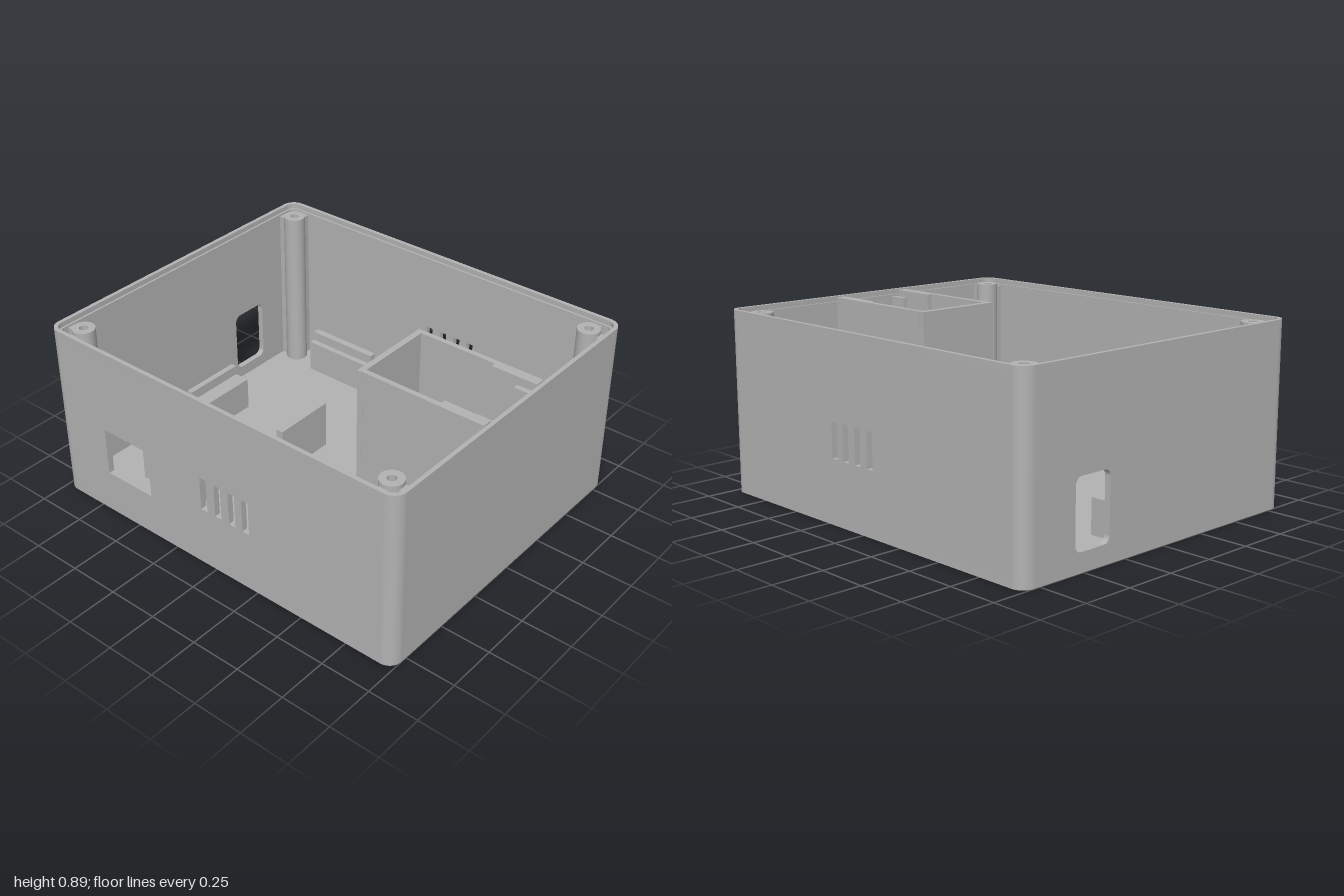
import * as THREE from 'three';
import { toCreasedNormals } from 'three/addons/utils/BufferGeometryUtils.js';

const W = 0.845, D = 1, H = 0.895, R = 0.065, T = 0.03;
const FLOOR = 0.03, LEDGE = 0.87, POST_TOP = 0.88;

export function createModel() {
  const root = new THREE.Group();
  root.name = 'enclosure';
  const grey = new THREE.MeshStandardMaterial({ color: 0xb2b2b2 });
  grey.name = 'grey plastic';

  const add = (geo, name, parent = root) => {
    const mesh = new THREE.Mesh(geo, grey);
    mesh.name = name;
    parent.add(mesh);
    return mesh;
  };
  const extrude = (shape, depth) =>
    new THREE.ExtrudeGeometry(shape, { depth, bevelEnabled: false, curveSegments: 12 });
  // Plan shapes use (x, -z) and are raised from y0 to y1
  const prism = (shape, y0, y1, name, parent) => {
    const geo = extrude(shape, y1 - y0).rotateX(-Math.PI / 2).translate(0, y0, 0);
    return add(toCreasedNormals(geo, 0.6), name, parent);
  };
  const box = (x0, x1, y0, y1, z0, z1, name, parent) => {
    const geo = new THREE.BoxGeometry(x1 - x0, y1 - y0, z1 - z0);
    geo.translate((x0 + x1) / 2, (y0 + y1) / 2, (z0 + z1) / 2);
    return add(geo, name, parent);
  };
  const roundRect = (C, x0, x1, y0, y1, r) => {
    const s = new C();
    s.moveTo(x0 + r, y0);
    s.absarc(x1 - r, y0 + r, r, -Math.PI / 2, 0, false);
    s.absarc(x1 - r, y1 - r, r, 0, Math.PI / 2, false);
    s.absarc(x0 + r, y1 - r, r, Math.PI / 2, Math.PI, false);
    s.absarc(x0 + r, y0 + r, r, Math.PI, Math.PI * 1.5, false);
    s.closePath();
    return s;
  };
  const rect = (C, x0, x1, y0, y1) => {
    const s = new C();
    s.moveTo(x0, y0);
    s.lineTo(x1, y0);
    s.lineTo(x1, y1);
    s.lineTo(x0, y1);
    s.closePath();
    return s;
  };

  // Floor in two layers: narrow keyholes below, wider pockets above
  const keyhole = (cx, w, r) => {
    const a = Math.asin(w / r), p = new THREE.Path();
    p.moveTo(cx + w, 0);
    p.lineTo(cx + w, -0.125 + r * Math.cos(a));
    p.absarc(cx, -0.125, r, Math.PI / 2 - a, Math.PI / 2 + a, true);
    p.lineTo(cx - w, 0);
    p.closePath();
    return p;
  };
  const floorLayer = (w, r, y0, y1, name) => {
    const s = roundRect(THREE.Shape, -W, W, -D, D, R);
    for (const cx of [-0.51, 0.505]) s.holes.push(keyhole(cx, w, r));
    prism(s, y0, y1, name);
  };
  floorLayer(0.035, 0.065, 0, FLOOR / 2, 'floorBottom');
  floorLayer(0.06, 0.076, FLOOR / 2, FLOOR, 'floorTop');

  // Flat wall panels with their openings
  const slots = () => [-0.21, -0.13, -0.047, 0.038].map(u =>
    rect(THREE.Path, u, u + 0.038, 0.31, 0.482));
  const panel = (half, holes) => {
    const s = rect(THREE.Shape, -half, half, FLOOR, LEDGE);
    s.holes.push(...holes);
    return extrude(s, T);
  };
  const backPort = roundRect(THREE.Path, 0.345, 0.55, 0.09, 0.41, 0.035);
  const sidePort = rect(THREE.Path, 0.4, 0.68, 0.22, 0.465);
  add(panel(W - R, []), 'frontWall').position.z = D - T;
  add(panel(W - R, [backPort]), 'backWall').position.z = -D;
  add(panel(D - R, slots()).rotateY(Math.PI / 2), 'leftWall').position.x = W - T;
  add(panel(D - R, [...slots(), sidePort]).rotateY(Math.PI / 2), 'rightWall').position.x = -W;

  // Rounded corner walls
  for (let i = 0; i < 4; i++) {
    const sx = i === 0 || i === 3 ? 1 : -1, sy = i < 2 ? 1 : -1, a = i * Math.PI / 2;
    const cx = sx * (W - R), cy = sy * (D - R), s = new THREE.Shape();
    s.absarc(cx, cy, R, a, a + Math.PI / 2, false);
    s.absarc(cx, cy, R - T, a + Math.PI / 2, a, true);
    s.closePath();
    prism(s, FLOOR, LEDGE, 'cornerWall');
  }

  // Thin rim above the lid ledge
  const rim = roundRect(THREE.Shape, -W, W, -D, D, R);
  rim.holes.push(roundRect(THREE.Path, -W + 0.02, W - 0.02, -D + 0.02, D - 0.02, R - 0.02));
  prism(rim, LEDGE, H, 'rim');

  // Screw posts, each tied to two walls by short ribs
  for (const sx of [-1, 1]) for (const sz of [-1, 1]) {
    const post = new THREE.Group();
    post.name = 'screwPost';
    root.add(post);
    const x = sx * 0.732, z = sz * 0.888;
    const ring = new THREE.Shape();
    ring.absarc(x, -z, 0.055, 0, Math.PI * 2, false);
    const hole = new THREE.Path();
    hole.absarc(x, -z, 0.021, 0, Math.PI * 2, true);
    ring.holes.push(hole);
    prism(ring, FLOOR, POST_TOP, 'postTube', post);
    const xs = [sx * 0.78, sx * (W - T)].sort((a, b) => a - b);
    const zs = [sz * 0.935, sz * (D - T)].sort((a, b) => a - b);
    box(xs[0], xs[1], FLOOR, LEDGE - 0.01, z - 0.022, z + 0.022, 'postRib', post);
    box(x - 0.022, x + 0.022, FLOOR, LEDGE - 0.01, zs[0], zs[1], 'postRib', post);
  }

  // Board supports: low seats with taller stops behind them
  const seat = 0.2, stop = 0.25;
  box(-0.145, 0.18, FLOOR, seat, -0.825, -0.745, 'backSeat');
  box(-0.145, 0.18, FLOOR, stop, -0.855, -0.825, 'backStop');
  box(-0.145, 0.18, FLOOR, seat, -0.325, -0.255, 'frontSeat');
  box(-0.145, 0.18, FLOOR, stop + 0.03, -0.255, -0.215, 'frontStop');
  box(0.67, 0.7, FLOOR, seat, -0.735, -0.345, 'leftSeat');
  box(0.7, 0.735, FLOOR, stop, -0.735, -0.345, 'leftStop');
  box(-0.595, -0.525, FLOOR, seat, -0.72, -0.36, 'rightSeat');

  // Tall compartment against the front wall
  const bay = new THREE.Group();
  bay.name = 'compartment';
  root.add(bay);
  const top = 0.89, front = D - T;
  box(-0.225, 0.222, FLOOR, top, 0.305, 0.335, 'bayBackWall', bay);
  box(-0.2, 0.197, FLOOR, 0.06, 0.335, 0.645, 'bayStep', bay);
  for (const s of [-1, 1]) {
    const wall = (a, b, y, z0, z1, name) =>
      box(Math.min(s * a, s * b), Math.max(s * a, s * b), FLOOR, y, z0, z1, name, bay);
    wall(0.198, 0.224, top, 0.335, front, 'baySideWall');
    wall(0.174, 0.198, top, 0.735, front, 'bayGuide');
    wall(0.133, 0.158, top - 0.03, 0.88, front, 'bayTab');
  }
  return root;
}
